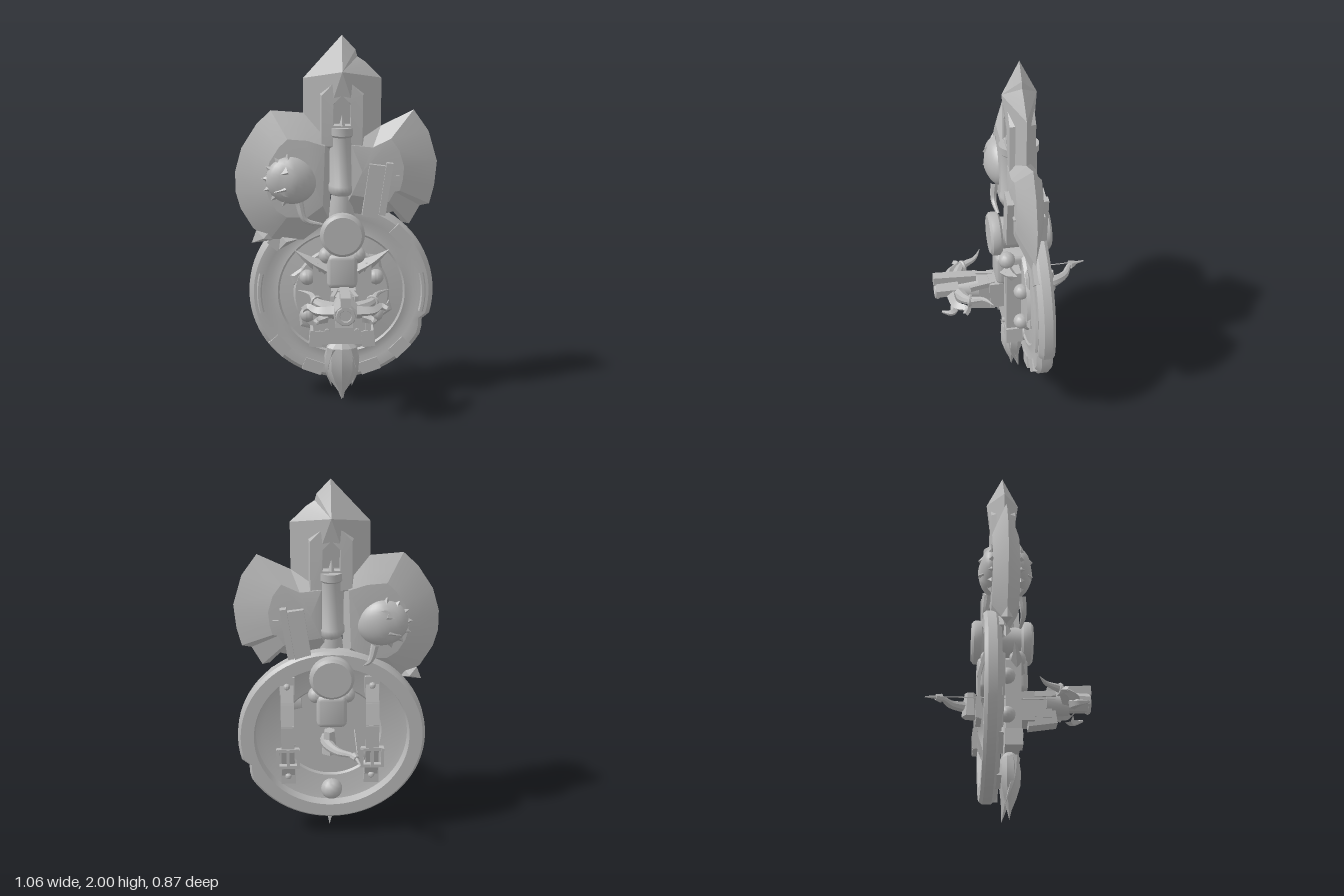
import * as THREE from 'three';
import { toCreasedNormals } from 'three/addons/utils/BufferGeometryUtils.js';
import { RoundedBoxGeometry } from 'three/addons/geometries/RoundedBoxGeometry.js';

const V = (x, y, z) => new THREE.Vector3(x, y, z);
const CX = 0.025, CZ = -0.037; // axis of the weapon

export function createModel() {
  const root = new THREE.Group();
  const stone = new THREE.MeshStandardMaterial({ color: 0xb8b8b8 });
  stone.name = 'plain grey';

  function add(name, geo, pos = [0, 0, 0], rot = [0, 0, 0], scale = [1, 1, 1], crease = 0.6) {
    const m = new THREE.Mesh(toCreasedNormals(geo, crease), stone);
    m.name = name;
    m.position.set(...pos);
    m.rotation.set(...rot);
    m.scale.set(...scale);
    root.add(m);
  }
  const box = (w, h, d) => new THREE.BoxGeometry(w, h, d);
  const lathe = (pts, n = 48) => new THREE.LatheGeometry(pts.map(p => new THREE.Vector2(...p)), n);

  // Two-sided faceted blade: outline at z = 0, shrinking rings [scale, height] towards a centre
  function blade(outline, c, rings) {
    const pos = [], n = outline.length;
    const at = (p, [k, z], s) => [c[0] + (p[0] - c[0]) * k, c[1] + (p[1] - c[1]) * k, z * s];
    const levels = [[1, 0], ...rings];
    for (const s of [1, -1]) for (let r = 0; r < rings.length; r++) for (let i = 0; i < n; i++) {
      const p = outline[i], q = outline[(i + 1) % n];
      const a = at(p, levels[r], s), b = at(q, levels[r], s);
      const d = at(q, levels[r + 1], s), e = at(p, levels[r + 1], s);
      const tris = s > 0 ? [a, b, d, a, d, e] : [a, d, b, a, e, d];
      pos.push(...tris.flat());
    }
    const g = new THREE.BufferGeometry();
    g.setAttribute('position', new THREE.Float32BufferAttribute(pos, 3));
    return g;
  }
  const addBlade = (name, outline, c, rings) => add(name, blade(outline, c, rings), [0, 0, CZ], [0, 0, 0], [1, 1, 1], 0.2);

  // Tube along points, narrowing from radius r to r * tip
  function horn(points, r, tip = 0.05, sides = 8) {
    const curve = new THREE.CatmullRomCurve3(points.map(p => V(...p)));
    const seg = 16, g = new THREE.TubeGeometry(curve, seg, r, sides);
    const p = g.attributes.position, v = V(0, 0, 0);
    for (let i = 0; i < p.count; i++) {
      const t = Math.floor(i / (sides + 1)) / seg;
      v.fromBufferAttribute(p, i).lerp(curve.getPointAt(t), (1 - tip) * t);
      p.setXYZ(i, v.x, v.y, v.z);
    }
    return g;
  }

  // Top spike with a chipped edge, and the raised frame with a slot below its peak
  addBlade('topSpike', [[-.175, 1.2], [.23, 1.2], [.23, 1.78], [.15, 1.86], [.105, 1.89], [.095, 1.925], [.025, 2], [-.175, 1.78]],
    [CX, 1.82], [[0, .088]]);
  addBlade('spikeFrame', [[-.1, 1.4], [.15, 1.4], [.15, 1.71], [.025, 1.84], [-.1, 1.71]], [CX, 1.62],
    [[.85, .066], [.36, .07], [.33, .05], [0, .05]]);
  for (const s of [1, -1])
    add('spikeStud', new THREE.ConeGeometry(.018, .06, 6), [CX, 1.57, CZ + s * .06]);

  // Broad axe blades
  addBlade('rightBlade', [[-.02, 1.55], [-.175, 1.6], [-.345, 1.613], [-.42, 1.54], [-.5, 1.415], [-.535, 1.29], [-.535, 1.18],
    [-.51, 1.09], [-.445, .98], [-.355, .92], [-.18, .915], [-.04, 1.02]], [-.13, 1.26], [[.75, .045], [.6, .07], [0, .082]]);
  addBlade('leftBlade', [[.03, 1.07], [.2, 1.04], [.31, 1.07], [.345, 1.01], [.385, 1.0], [.44, 1.1], [.49, 1.11], [.515, 1.21], [.527, 1.34],
    [.48, 1.5], [.4, 1.613], [.23, 1.53], [.03, 1.55]], [.13, 1.3], [[.55, .068], [0, .08]]);
  addBlade('bladeBarb', [[-.455, .9], [-.34, .915], [-.36, .96], [-.43, .968]], [-.39, .93], [[0, .03]]);
  addBlade('bladeBarb', [[-.31, .86], [-.2, .92], [-.3, .94]], [-.27, .91], [[0, .03]]);

  // Oval shaft socket and neck
  add('shaftSocket', lathe([[0, 1.17], [.06, 1.17], [.072, 1.19], [.072, 1.22], [.067, 1.23], [.067, 1.48], [.074, 1.49], [.074, 1.53], [0, 1.53]], 24),
    [CX, 0, CZ], [0, 0, 0], [1, 1, 1.4]);
  add('neck', new THREE.CylinderGeometry(.05, .07, .16, 16), [CX, 1.12, CZ]);

  // Drum hub with rounded caps front and back
  add('hub', new THREE.CylinderGeometry(.085, .085, .26, 24), [CX, .975, CZ], [Math.PI / 2, 0, 0]);
  for (const z of [.093, -.168])
    add('drumCap', lathe([[0, -.032], [.1, -.032], [.115, -.02], [.118, 0], [.115, .02], [.1, .032], [0, .032]], 32),
      [CX, .975, z], [Math.PI / 2, 0, 0]);
  add('gripBlock', new RoundedBoxGeometry(.16, .19, .265, 3, .03), [CX, .77, -.037]);
  for (const s of [1, -1]) for (const z of [.04, -.11])
    add('gripKnob', new THREE.SphereGeometry(.045, 14, 10), [CX + s * .08, .85, z]);

  // Skulls with ragged crests and tilted slabs on both faces of the axe
  for (const s of [1, -1]) {
    const g = new THREE.SphereGeometry(1, 26, 18), p = g.attributes.position;
    for (let i = 0; i < p.count; i++) {
      const x = p.getX(i), y = p.getY(i), z = p.getZ(i);
      const k = 1 - .12 * Math.max(0, x) * Math.max(0, y);
      p.setXYZ(i, x * k, y * k, z * (x < -.3 ? .9 : 1));
    }
    add('skull', g, [-.235, 1.255, CZ + s * .055], [0, s * .15, -.2], [.14, .128, .085]);
    for (const a of [1.7, 2.15, 2.6, 3.05, 3.5, 3.95, 4.4])
      add('skullCrest', new THREE.ConeGeometry(.042, .07, 4),
        [-.24 + .12 * Math.cos(a), 1.255 + .112 * Math.sin(a), CZ + s * .075], [0, 0, a - Math.PI / 2]);
    for (const [x, y] of [[-.29, 1.3], [-.3, 1.21]])
      add('skullBrow', new THREE.ConeGeometry(.028, .07, 4), [x, y, CZ + s * .115], [0, 0, 1.9]);
    add('cheekHorn', horn([[-.2, 1.14, CZ + s * .09], [-.17, 1.05, CZ + s * .1], [-.08, 1.02, CZ + s * .09]], .022, .4));
    add('slab', box(.085, .28, .05), [.19, 1.2, CZ + s * .075], [0, 0, -.14]);
    add('slabBar', box(.035, .28, .05), [.253, 1.21, CZ + s * .08], [0, 0, -.14]);
    add('bladePin', box(.03, .008, .012), [.31, 1.275, CZ + s * .075]);
  }

  // Round shield: rim and dished panel in one turned shape, with a chip in the rim
  const SY = .61;
  const sg = lathe([[0, -.065], [.26, -.065], [.27, -.075], [.37, -.09], [.405, -.1], [.415, -.147], [.485, -.147], [.5, -.13], [.5, -.085],
    [.475, -.06], [.42, -.058], [.39, -.068], [.345, -.058], [.335, -.066], [.26, -.058], [.25, -.04], [0, -.035]], 72);
  const sp = sg.attributes.position;
  for (let i = 0; i < sp.count; i++) {
    const x = sp.getX(i), z = sp.getZ(i), r = Math.hypot(x, z), a = Math.atan2(-z, x);
    const d = Math.abs(a + .37);
    if (r > .46 && d < .09) { const k = 1 - .07 * (1 - d / .1); sp.setX(i, x * k); sp.setZ(i, z * k); }
  }
  add('shield', sg, [CX, SY, 0], [Math.PI / 2, 0, 0]);
  for (const deg of [45, 138, 222, 250, 290, 315]) {
    const a = deg * Math.PI / 180;
    add('rimClamp', box(.07, .11, .06), [CX + .452 * Math.cos(a), SY + .452 * Math.sin(a), -.08], [0, 0, a]);
  }
  for (const a of [0, Math.PI])
    add('rimSlot', new THREE.TorusGeometry(.445, .014, 6, 12, .5), [CX, SY, -.058], [0, 0, a - .25]);
  for (const a of [.45, 2.45, 3.5, 5.6])
    add('panelShard', blade([[0, 0], [.1, -.02], [.13, .03], [.05, .07]], [.07, .02], [[.6, .012], [0, .012]]),
      [CX + .25 * Math.cos(a), SY + .25 * Math.sin(a), -.055], [0, 0, a + 1.5]);

  // Arm straps with buckles on the back of the shield
  for (const s of [1, -1]) {
    const x = .035 + s * .225;
    const path = [[.3, -.1], [.2, -.135], [.08, -.165], [-.06, -.165], [-.16, -.135], [-.25, -.1]];
    for (let i = 0; i < 5; i++) {
      const [y0, z0] = path[i], [y1, z1] = path[i + 1];
      add('strap', box(.07, Math.hypot(y1 - y0, z1 - z0) + .01, .016), [x, SY + (y0 + y1) / 2, (z0 + z1) / 2],
        [Math.atan2(z0 - z1, y0 - y1), 0, 0]);
    }
    for (const y of [.29, -.25]) {
      add('strapPlate', box(.08, .1, .03), [x, SY + y, -.095]);
      add('strapRivet', new THREE.SphereGeometry(.018, 10, 8), [x, SY + y, -.112]);
    }
    for (const y of [-.06, -.16]) add('buckleBar', box(.12, .018, .025), [x, SY + y, -.165]);
    for (const e of [-.055, 0, .055]) add('buckleSide', box(.016, .11, .025), [x + e, SY - .11, -.168]);
  }

  // Front mounting plate with corner blocks, bolts and lamps
  add('mountPlate', box(.29, .46, .07), [CX, .58, .01]);
  add('mountPanel', box(.23, .4, .02), [CX, .57, .045]);
  for (const s of [1, -1]) {
    add('plateRail', box(.03, .44, .08), [CX + s * .14, .59, .015]);
    add('plateCorner', box(.07, .09, .09), [CX + s * .14, .385, .015], [0, 0, s * .1]);
    add('plateBolt', new THREE.CylinderGeometry(.014, .014, .02, 8), [CX + s * .08, .43, .058], [Math.PI / 2, 0, 0]);
    add('plateSpike', horn([[CX + s * .08, .77, .03], [CX + s * .16, .81, .03], [CX + s * .25, .87, .015]], .05, .05, 4));
    for (const y of [.5, .71]) add('sideLamp', new THREE.SphereGeometry(.042, 14, 10), [CX + s * .185, y, -.02]);
  }

  // Beast head on a forward arm
  add('armBase', box(.13, .16, .08), [.03, .6, .09]);
  add('arm', box(.1, .13, .12), [.03, .61, .16]);
  add('armCollar', new THREE.CylinderGeometry(.054, .066, .12, 12), [.03, .63, .25], [Math.PI / 2, 0, 0]);
  add('jaw', box(.09, .07, .15), [.03, .54, .17], [-.15, 0, 0]);
  add('snout', new THREE.CylinderGeometry(.062, .066, .12, 8), [.03, .645, .36], [Math.PI / 2, Math.PI / 8, 0], [1, 1, .85]);
  add('snoutRidge', box(.05, .05, .23), [.03, .705, .315], [-.06, 0, 0]);
  add('muzzle', new THREE.TorusGeometry(.04, .016, 6, 10), [.03, .64, .412]);
  for (const s of [1, -1]) {
    const X = d => .03 + s * d;
    add('curvedHorn', horn([[X(.06), .64, .3], [X(.14), .66, .26], [X(.175), .68, .18], [X(.24), .69, .14]], .036, .05, 8));
    add('hornRing', new THREE.TorusGeometry(.026, .01, 6, 10), [X(.145), .66, .25], [0, s * -.4, 0]);
    add('cheekFin', horn([[X(.05), .63, .33], [X(.14), .63, .32], [X(.19), .64, .27], [X(.22), .63, .29]], .036, .4, 4));
    add('tusk', horn([[X(.1), .6, .32], [X(.145), .59, .35], [X(.14), .6, .405]], .03, .2, 5));
    add('armStrut', box(.02, .03, .14), [X(.05), .67, .17], [0, s * .2, 0]);
  }

  // Long rear horn with its base and taut cord
  add('hornBase', new THREE.CylinderGeometry(.03, .045, .13, 6), [.04, .62, -.2]);
  add('rearHorn', horn([[.05, .61, -.15], [.05, .615, -.22], [0, .61, -.3], [-.08, .61, -.35], [-.11, .605, -.435]], .038, .1));
  add('rearHornRing', new THREE.CylinderGeometry(.016, .024, .03, 8), [-.088, .61, -.365], [-Math.PI / 2, 0, .4]);
  add('cord', new THREE.CylinderGeometry(.003, .003, .58, 5), [-.1, .61, -.06], [Math.PI / 2, 0, 0]);

  // Pointed tuft at the foot
  add('tuft', lathe([[0, 0], [.02, .05], [.06, .11], [.095, .18], [.1, .25], [.085, .31], [.05, .34], [0, .35]], 10),
    [CX, .01, .002], [0, 0, 0], [1, 1, .6], 0.4);
  add('tuftTip', horn([[CX, .22, -.01], [CX + .005, .1, -.02], [CX + .01, 0, CZ]], .05, .02, 6));
  for (const s of [1, -1])
    add('tuftLock', horn([[CX + s * .05, .32, .02], [CX + s * .075, .2, .015], [CX + s * .055, .08, -.02]], .035, .03, 6));
  add('tuftKnot', new THREE.SphereGeometry(.06, 14, 10), [CX, .26, -.08]);

  return root;
}
